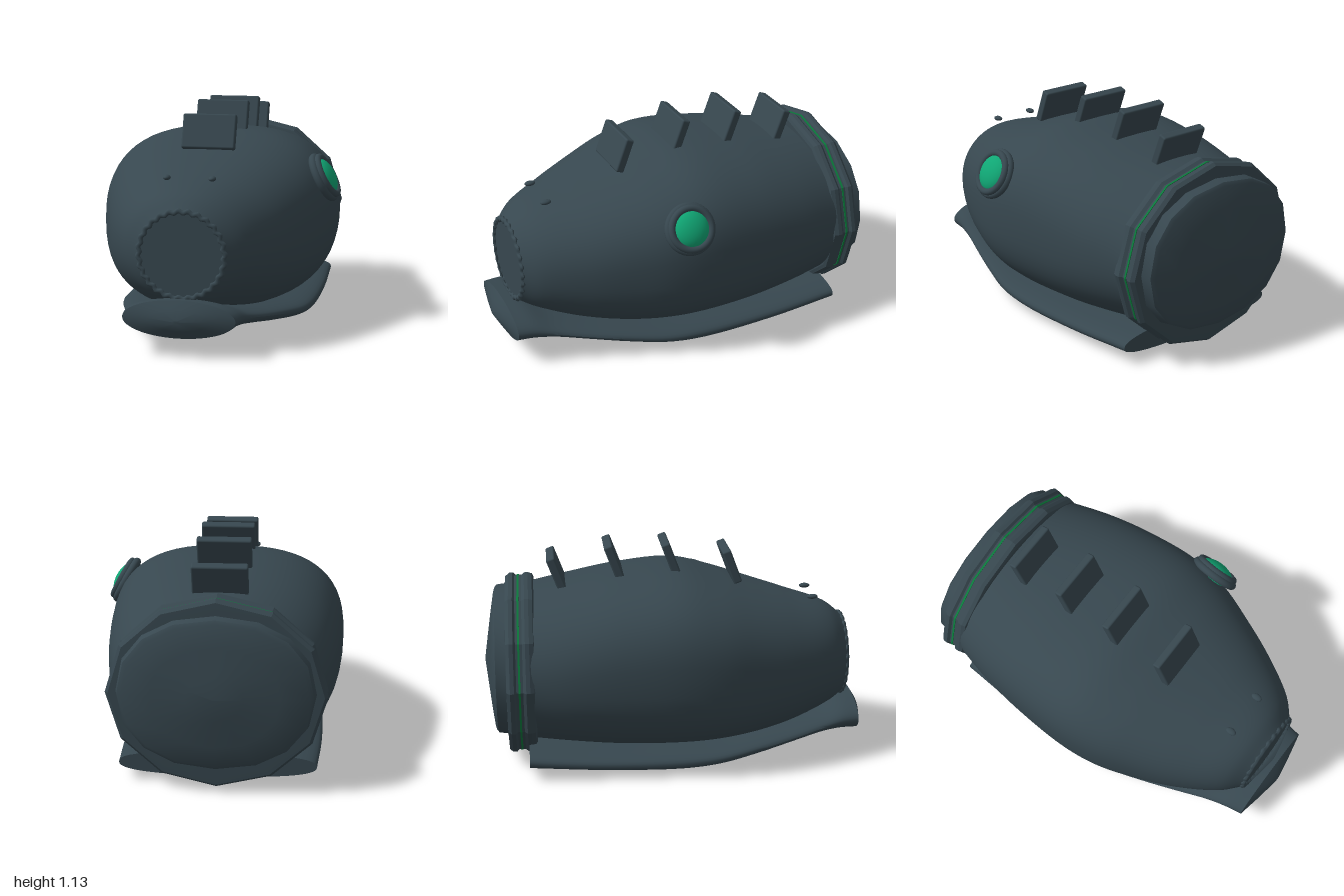
import * as THREE from 'three';
import { toCreasedNormals } from 'three/addons/utils/BufferGeometryUtils.js';
import { RoundedBoxGeometry } from 'three/addons/geometries/RoundedBoxGeometry.js';

// Closed skin over cross-sections [z, halfWidth, bottomY, topY, roundness], ordered front to back.
function loft(sections, sides, crease) {
  const pos = [], index = [];
  for (const [z, w, y0, y1, n = 2] of sections) {
    for (let j = 0; j < sides; j++) {
      const a = (j / sides) * Math.PI * 2, c = Math.cos(a), s = Math.sin(a);
      const bend = (v) => Math.sign(v) * Math.pow(Math.abs(v), 2 / n);
      pos.push(w * bend(c), (y0 + y1) / 2 + ((y1 - y0) / 2) * bend(s), z);
    }
  }
  const last = sections.length - 1;
  for (const k of [0, last]) pos.push(0, (sections[k][2] + sections[k][3]) / 2, sections[k][0]);
  const front = sections.length * sides, back = front + 1;
  for (let j = 0; j < sides; j++) {
    const k = (j + 1) % sides;
    for (let i = 0; i < last; i++) {
      const a = i * sides + j, b = i * sides + k;
      index.push(a, a + sides, b, b, a + sides, b + sides);
    }
    index.push(front, j, k, back, last * sides + k, last * sides + j);
  }
  const geo = new THREE.BufferGeometry();
  geo.setAttribute('position', new THREE.Float32BufferAttribute(pos, 3));
  geo.setIndex(index);
  return toCreasedNormals(geo, crease);
}

// Smoothly fills in sections between the given ones.
function refine(sections, steps) {
  const curve = (a, b) => new THREE.CatmullRomCurve3(sections.map((s) => new THREE.Vector3(s[0], s[a], s[b])));
  const p = curve(1, 2), q = curve(3, 4), out = [];
  for (let i = 0; i <= steps; i++) {
    const u = p.getPoint(i / steps), v = q.getPoint(i / steps);
    out.push([u.x, u.y, u.z, v.y, v.z]);
  }
  return out;
}

export function createModel() {
  const model = new THREE.Group();
  const axis = new THREE.Group();
  axis.name = 'creature';
  axis.position.x = -0.0175;
  model.add(axis);

  const slate = new THREE.MeshStandardMaterial({ color: 0x37474f });
  slate.name = 'slate';
  const emerald = new THREE.MeshStandardMaterial({ color: 0x10a674 });
  emerald.name = 'emerald';
  const darkGreen = new THREE.MeshStandardMaterial({ color: 0x0b7a3c });
  darkGreen.name = 'dark green';

  const add = (name, geo, mat, parent = axis) => {
    const mesh = new THREE.Mesh(geo, mat);
    mesh.name = name;
    parent.add(mesh);
    return mesh;
  };

  // Barrel-shaped body
  add('body', loft(refine([
    [0.885, 0.215, 0.275, 0.7, 2],
    [0.8, 0.305, 0.23, 0.765, 2.1],
    [0.6, 0.425, 0.16, 0.83, 2.3],
    [0.4, 0.51, 0.12, 0.89, 2.5],
    [0.2, 0.578, 0.1, 0.95, 2.6],
    [0, 0.605, 0.09, 0.995, 2.6],
    [-0.3, 0.592, 0.09, 0.975, 2.5],
    [-0.55, 0.56, 0.1, 0.935, 2.3],
    [-0.76, 0.51, 0.11, 0.9, 2.1],
  ], 48), 64, 0.6), slate);

  // Domed snout plate with a scalloped rim
  add('snoutPlate', loft([
    [0.878, 0.21, 0.28, 0.7], [0.893, 0.195, 0.295, 0.685], [0.908, 0.15, 0.34, 0.635],
    [0.923, 0.08, 0.41, 0.565], [0.933, 0.02, 0.468, 0.508],
  ], 48, 1), slate);
  const rim = new THREE.TorusGeometry(0.208, 0.013, 8, 168);
  const rp = rim.attributes.position;
  for (let i = 0; i < rp.count; i++) {
    const wave = 1 + 0.025 * Math.sin(28 * Math.atan2(rp.getY(i), rp.getX(i)));
    rp.setXYZ(i, rp.getX(i) * wave, rp.getY(i) * wave, rp.getZ(i));
  }
  rim.computeVertexNormals();
  add('snoutRim', rim, slate).position.set(0, 0.488, 0.884);

  // Broad lower jaw with an upturned front lip
  const jaw = refine([
    [0.945, 0.275, 0.1, 0.285, 2],
    [0.86, 0.29, 0.105, 0.275, 2],
    [0.75, 0.315, 0.105, 0.235, 2],
    [0.6, 0.365, 0.085, 0.2, 2.1],
    [0.4, 0.43, 0.05, 0.17, 2.3],
    [0.2, 0.485, 0.02, 0.147, 2.4],
    [0, 0.505, 0.006, 0.14, 2.5],
    [-0.4, 0.505, 0.016, 0.142, 2.5],
    [-0.78, 0.485, 0.035, 0.16, 2.5],
  ], 40);
  add('jaw', loft([[0.992, 0.02, 0.18, 0.2, 2], [0.97, 0.15, 0.14, 0.245, 2], ...jaw], 48, 0.6), slate);

  // Faceted double-ridged collar, its green inlay and the rear cap
  const ring = (z, s) => [z, 0.532 * s, 0.492 - 0.472 * s, 0.492 + 0.472 * s];
  add('collar', loft([
    ring(-0.738, 0.95), ring(-0.745, 0.985), ring(-0.765, 1), ring(-0.785, 1), ring(-0.8, 0.975),
    ring(-0.834, 0.975), ring(-0.845, 1), ring(-0.865, 1), ring(-0.882, 0.97), ring(-0.884, 0.9),
  ], 12, 0.3), slate);
  add('collarInlay', loft([ring(-0.813, 0.982), ring(-0.823, 0.982)], 12, 0.3), darkGreen);
  add('rearCap', loft([
    [-0.86, 0.482, 0.13, 0.89, 2.2], [-0.935, 0.466, 0.14, 0.882, 2.2], [-0.947, 0.445, 0.155, 0.865, 2.2],
    [-0.965, 0.31, 0.26, 0.755, 2.1], [-0.985, 0.14, 0.4, 0.62, 2], [-1, 0.005, 0.505, 0.515, 2],
  ], 16, 0.7), slate);

  // Row of back plates, leaning to the rear
  for (const [y, z] of [[1.003, 0.284], [1.046, -0.03], [1.041, -0.324], [0.984, -0.618]]) {
    const plate = add('backPlate', new RoundedBoxGeometry(0.275, 0.18, 0.045, 3, 0.009), slate);
    plate.position.set(0, y, z);
    plate.rotation.x = -0.36;
  }

  // Nostril bumps
  for (const side of [-1, 1]) {
    const nostril = add('nostril', new THREE.SphereGeometry(0.018, 16, 12), slate);
    nostril.scale.set(1, 0.7, 1.6);
    nostril.position.set(side * 0.112, 0.83, 0.71);
  }

  // Single eye on the left side: flattened ball inside a double ring
  const eye = new THREE.Group();
  eye.name = 'eye';
  eye.position.set(0.568, 0.768, 0.13);
  eye.quaternion.setFromUnitVectors(new THREE.Vector3(0, 0, 1), new THREE.Vector3(0.87, 0.46, 0.06).normalize());
  axis.add(eye);
  add('eyeBall', new THREE.SphereGeometry(0.1, 32, 20), emerald, eye).scale.z = 0.55;
  add('eyeRingOuter', new THREE.TorusGeometry(0.112, 0.021, 12, 40), slate, eye).position.z = -0.006;
  add('eyeRingInner', new THREE.TorusGeometry(0.103, 0.018, 12, 40), slate, eye).position.z = 0.018;

  return model;
}
